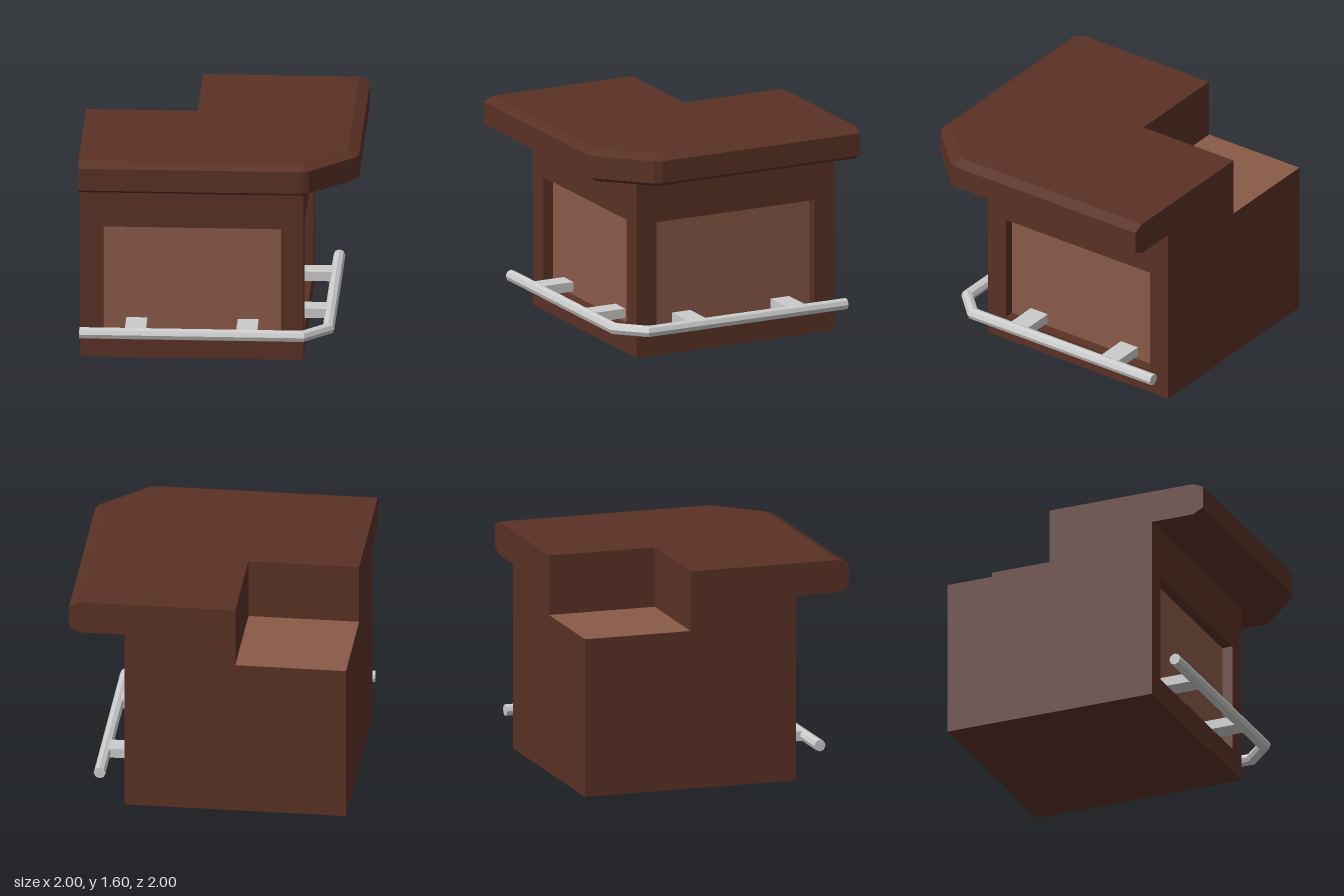
import * as THREE from 'three';

const wood = new THREE.MeshStandardMaterial({ color: 0x5a3124, flatShading: true });
const panelWood = new THREE.MeshStandardMaterial({ color: 0x8a5a48, flatShading: true });
const metal = new THREE.MeshStandardMaterial({ color: 0xcccccc, flatShading: true });

function add(parent, name, geometry, material, x = 0, y = 0, z = 0) {
  const mesh = new THREE.Mesh(geometry, material);
  mesh.name = name;
  mesh.position.set(x, y, z);
  parent.add(mesh);
  return mesh;
}

// Upright prism over a floor plan of [x, z] points
function prism(plan, y0, y1) {
  const shape = new THREE.Shape(plan.map(([x, z]) => new THREE.Vector2(x, -z)));
  return new THREE.ExtrudeGeometry(shape, { depth: y1 - y0, bevelEnabled: false })
    .rotateX(-Math.PI / 2).translate(0, y0, 0);
}

// Sweep a closed [outward, y] profile along stations [x, z, outwardX, outwardZ]
function sweep(stations, profile) {
  const rings = stations.map(([x, z, nx, nz]) => profile.map(([o, y]) => [x + nx * o, y, z + nz * o]));
  const n = profile.length, pos = [];
  const tri = (...pts) => pts.forEach(p => pos.push(...p));
  for (let s = 0; s < rings.length - 1; s++) {
    for (let i = 0; i < n; i++) {
      const j = (i + 1) % n;
      const a = rings[s][i], b = rings[s + 1][i], c = rings[s + 1][j], d = rings[s][j];
      tri(a, b, c);
      tri(a, c, d);
    }
  }
  const first = rings[0], last = rings[rings.length - 1];
  for (let i = 1; i < n - 1; i++) {
    tri(first[0], first[i], first[i + 1]);
    tri(last[0], last[i + 1], last[i]);
  }
  const g = new THREE.BufferGeometry();
  g.setAttribute('position', new THREE.Float32BufferAttribute(pos, 3));
  g.computeVertexNormals();
  return g;
}

// Framed wall with a recessed panel and two rail brackets, facing local +z
function wall(name, start) {
  const g = new THREE.Group();
  g.name = name;
  const shape = new THREE.Shape([[start, 0], [0.8, 0], [0.8, 1.36], [start, 1.36]]
    .map(p => new THREE.Vector2(...p)));
  shape.holes.push(new THREE.Path([[-0.64, 0.18], [-0.64, 0.99], [0.64, 0.99], [0.64, 0.18]]
    .map(p => new THREE.Vector2(...p))));
  add(g, 'wallFrame', new THREE.ExtrudeGeometry(shape, { depth: 0.08, bevelEnabled: false }), wood);
  add(g, 'recessedPanel', new THREE.PlaneGeometry(1.28, 0.81), panelWood, 0, 0.585, 0.002);
  for (const x of [-0.4, 0.4]) {
    add(g, 'railBracket', new THREE.BoxGeometry(0.15, 0.07, 0.26), metal, x, 0.242, 0.13);
  }
  return g;
}

export function createModel() {
  const model = new THREE.Group();
  model.name = 'cornerCounter';

  // Body core with a notch in the back corner
  add(model, 'bodyCore', prism([[-1, -1], [-1, 0.52], [0.52, 0.52], [0.52, -1]], 0, 1.16), wood);
  add(model, 'upperCore', prism(
    [[-1, -0.2], [-1, 0.52], [0.52, 0.52], [0.52, -1], [-0.2, -1], [-0.2, -0.2]], 1.16, 1.36), wood);
  add(model, 'notchShelf', new THREE.PlaneGeometry(0.8, 0.8).rotateX(-Math.PI / 2), panelWood, -0.6, 1.162, -0.6);

  // Two outer walls
  const front = wall('frontWall', -0.8);
  front.position.set(-0.2, 0, 0.52);
  const side = wall('sideWall', -0.72);
  side.position.set(0.52, 0, -0.2);
  side.rotation.y = Math.PI / 2;
  model.add(front, side);

  // Counter top with bevelled edging round the cut corner
  add(model, 'counterTop', prism([[-1, -0.2], [-1, 0.92], [0.6, 0.92], [0.92, 0.6],
    [0.92, -1], [-0.2, -1], [-0.2, -0.2]], 1.36, 1.6), wood);
  const k = Math.SQRT1_2;
  add(model, 'counterEdging', sweep(
    [[-1, 0.92, 0, 1], [0.6, 0.92, 0, 1], [0.6, 0.92, k, k],
      [0.92, 0.6, k, k], [0.92, 0.6, 1, 0], [0.92, -1, 1, 0]],
    [[0, 1.36], [0.08, 1.4], [0.08, 1.565], [0, 1.6]]), wood);

  // Eight-sided foot rail, mitred at the corner
  const ring = Array.from({ length: 8 }, (_, i) => {
    const a = i * Math.PI / 4;
    return [0.043 * Math.cos(a), 0.242 + 0.043 * Math.sin(a)];
  });
  const m = Math.tan(Math.PI / 8);
  add(model, 'footRail', sweep(
    [[-1, 0.78, 0, 1], [0.6, 0.78, m, 1], [0.78, 0.6, 1, m], [0.78, -1, 1, 0]], ring), metal);

  return model;
}
